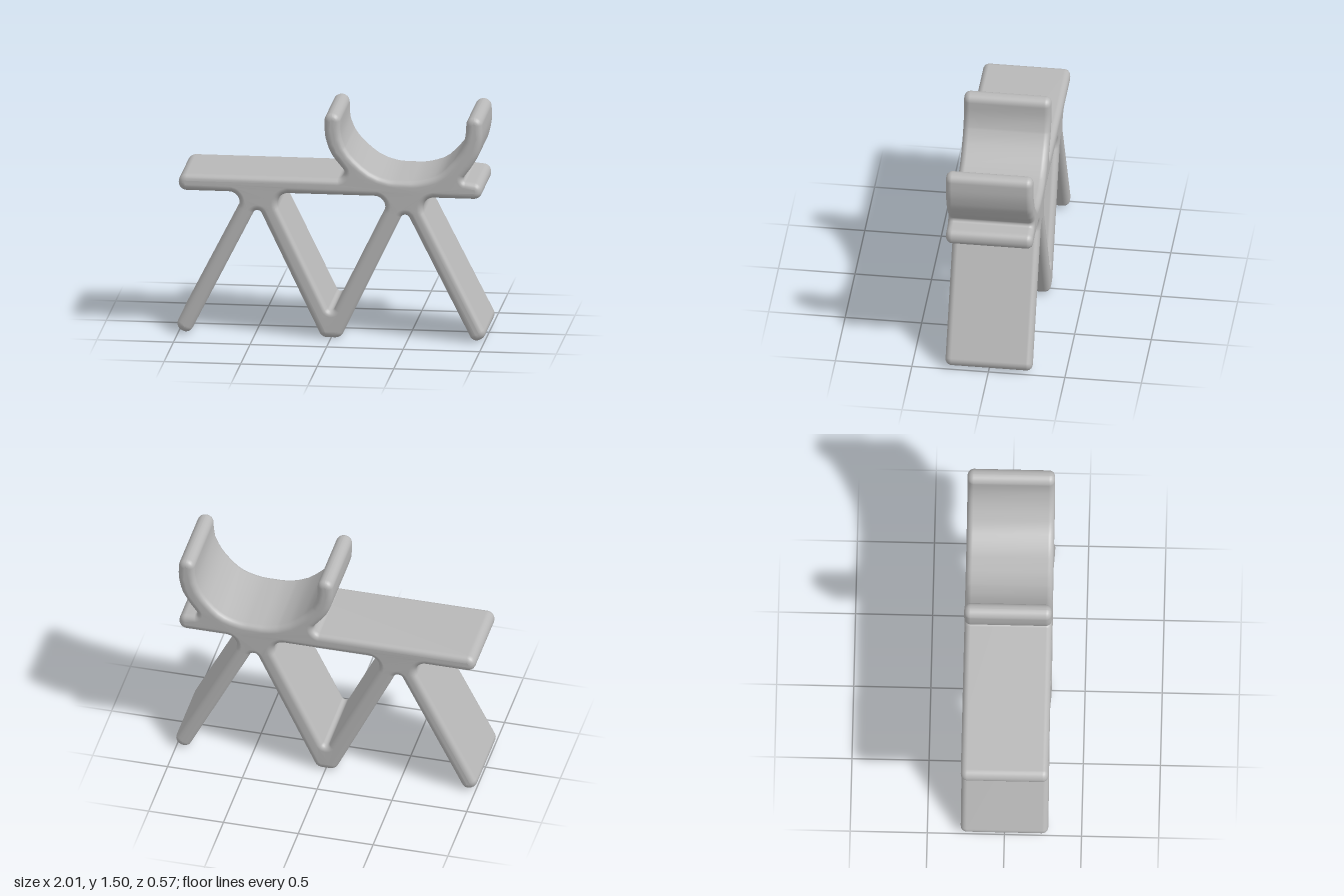
import * as THREE from 'three';
import { mergeVertices } from 'three/addons/utils/BufferGeometryUtils.js';

// Closed outline from corners [x, y, radius], every corner rounded by an arc
function roundedOutline(corners) {
  const points = [];
  const n = corners.length;
  corners.forEach(([x, y, radius], i) => {
    const p = new THREE.Vector2(x, y);
    const prev = new THREE.Vector2(...corners[(i + n - 1) % n]);
    const next = new THREE.Vector2(...corners[(i + 1) % n]);
    const a = prev.clone().sub(p), b = next.clone().sub(p);
    const limit = 0.49 * Math.min(a.length(), b.length());
    a.normalize();
    b.normalize();
    const half = Math.acos(THREE.MathUtils.clamp(a.dot(b), -1, 1)) / 2;
    const t = Math.min(radius / Math.tan(half), limit);
    const r = t * Math.tan(half);
    const centre = a.clone().add(b).normalize().multiplyScalar(r / Math.sin(half)).add(p);
    const start = a.clone().multiplyScalar(t).add(p).sub(centre);
    const end = b.clone().multiplyScalar(t).add(p).sub(centre);
    const sweep = Math.atan2(start.cross(end), start.dot(end));
    const steps = Math.max(2, Math.ceil(Math.abs(sweep) / 0.25));
    for (let k = 0; k <= steps; k++) {
      points.push(start.clone().rotateAround(new THREE.Vector2(), sweep * k / steps).add(centre));
    }
  });
  return points;
}

export function createModel() {
  const group = new THREE.Group();
  group.name = 'bench';
  const grey = new THREE.MeshStandardMaterial({ color: 0xb8b8b8 });
  grey.name = 'grey';

  // Zigzag legs, left half, from the deck underside to the middle foot
  const legs = [
    [-0.555, 0.957, 0.07],
    [-1.02, 0.045, 0.048], [-0.93, -0.012, 0.048],
    [-0.482, 0.875, 0.03],
    [-0.062, 0, 0.055],
  ];
  const mirroredLegs = legs.map(([x, y, r]) => [-x, y, r]).reverse();

  // Right deck end and curved cradle seat, running over to the left deck end
  const deckAndSeat = [
    [0.983, 0.957, 0.05], [0.983, 1.06, 0.05],
    [0.845, 1.075, 0.02],
    [0.91, 1.16, 0.2], [0.965, 1.25, 0.2], [0.99, 1.36, 0.3],
    [0.985, 1.503, 0.052], [0.882, 1.503, 0.052],
    [0.878, 1.34, 0.3], [0.81, 1.22, 0.3], [0.7, 1.1, 0.3], [0.56, 1.065, 0.3],
    [0.38, 1.065, 0.3], [0.25, 1.11, 0.3], [0.12, 1.23, 0.3], [0.06, 1.34, 0.3],
    [0.06, 1.503, 0.052], [-0.045, 1.503, 0.052],
    [-0.045, 1.34, 0.3], [0, 1.225, 0.25], [0.095, 1.11, 0.1],
    [0.06, 1.067, 0.04],
    [-0.997, 1.067, 0.054], [-0.997, 0.957, 0.054],
  ];

  const shape = new THREE.Shape(roundedOutline([...legs, ...mirroredLegs, ...deckAndSeat]));

  // Triangular opening under the deck
  shape.holes.push(new THREE.Path(roundedOutline([
    [-0.394, 0.957, 0.07], [0, 0.15, 0.025], [0.394, 0.957, 0.07],
  ])));

  // Extrude across the width with soft rounded edges
  const width = 0.568, edge = 0.04;
  let geometry = new THREE.ExtrudeGeometry(shape, {
    depth: width - 2 * edge,
    bevelEnabled: true,
    bevelThickness: edge,
    bevelSize: edge,
    bevelOffset: -edge,
    bevelSegments: 5,
  });
  geometry.translate(0, 0, edge - width / 2);
  geometry.deleteAttribute('uv');
  geometry.deleteAttribute('normal');
  geometry.clearGroups();
  geometry = mergeVertices(geometry, 1e-5);
  geometry.computeVertexNormals();

  const body = new THREE.Mesh(geometry, grey);
  body.name = 'deckSeatAndLegs';
  group.add(body);
  return group;
}
